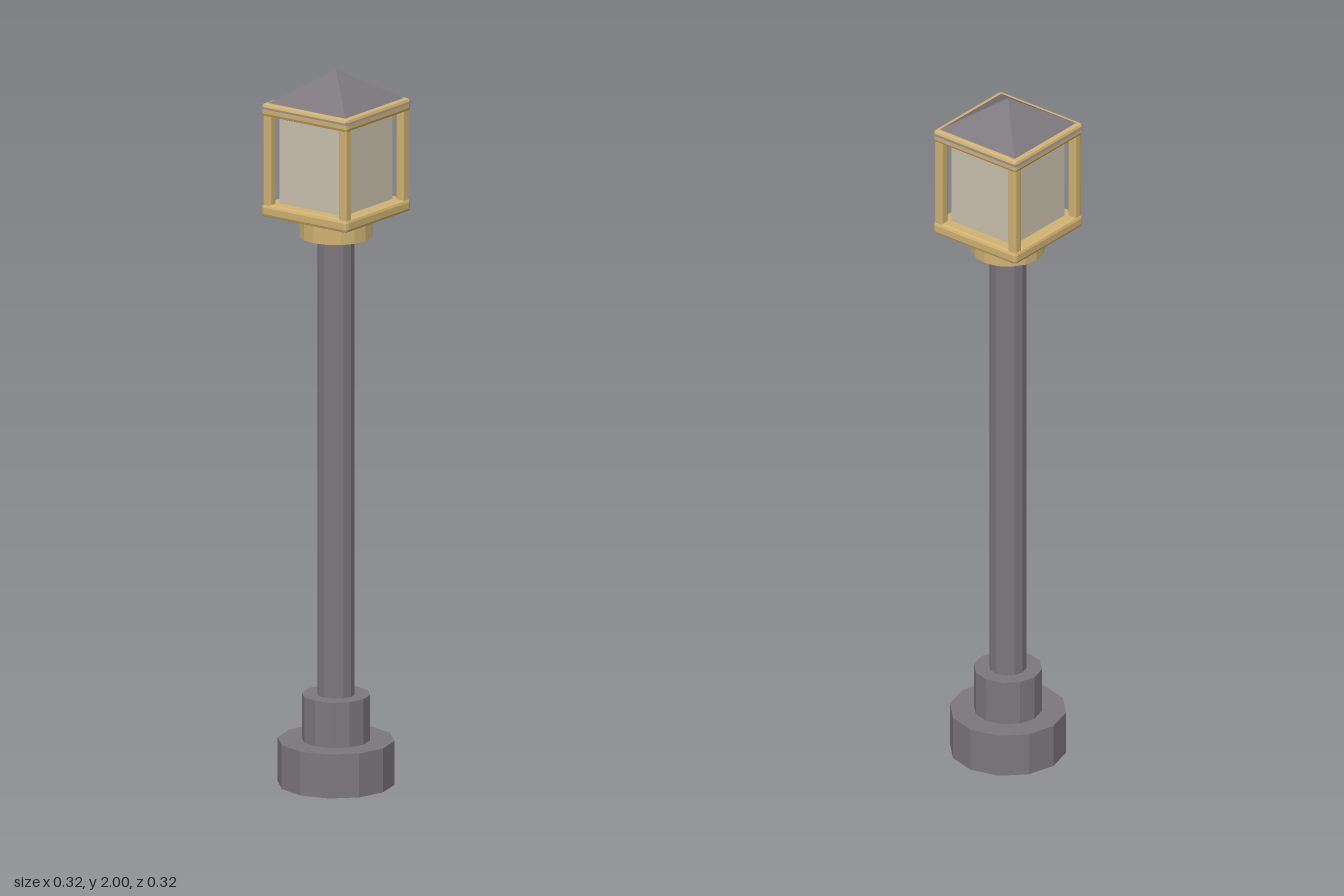
import * as THREE from 'three';
import { RoundedBoxGeometry } from 'three/addons/geometries/RoundedBoxGeometry.js';

export function createModel() {
  const model = new THREE.Group();
  model.name = 'lampPost';

  const mat = (name, color, flatShading) => {
    const m = new THREE.MeshStandardMaterial({ color, flatShading });
    m.name = name;
    return m;
  };
  const iron = mat('greyIron', 0x7d777e, true);
  const brass = mat('brass', 0xd0b272, true);
  const glass = mat('frostedGlass', 0xcac1ae, true);

  const add = (name, geometry, material, x, y, z) => {
    const mesh = new THREE.Mesh(geometry, material);
    mesh.name = name;
    mesh.position.set(x, y, z);
    model.add(mesh);
    return mesh;
  };
  // Upright prism between two heights
  const drum = (name, radius, y0, y1, sides, material) =>
    add(name, new THREE.CylinderGeometry(radius, radius, y1 - y0, sides), material, 0, (y0 + y1) / 2, 0);

  // Stepped foot, pole and collar
  drum('base', 0.159, 0, 0.123, 12, iron);
  drum('pedestal', 0.093, 0.123, 0.25, 12, iron);
  drum('pole', 0.051, 0.25, 1.54, 12, iron);
  drum('collar', 0.1, 1.535, 1.597, 16, brass);

  // Lantern: bevelled trays, corner posts and glass block
  const tray = new RoundedBoxGeometry(0.29, 0.036, 0.29, 1, 0.009);
  add('lanternFloor', tray, brass, 0, 1.613, 0);
  add('lanternTop', tray, brass, 0, 1.895, 0);
  const post = new RoundedBoxGeometry(0.026, 0.27, 0.026, 1, 0.004);
  for (const x of [-1, 1]) {
    for (const z of [-1, 1]) add('cornerPost', post, brass, x * 0.128, 1.754, z * 0.128);
  }
  add('glassBlock', new THREE.BoxGeometry(0.217, 0.26, 0.217), glass, 0, 1.754, 0);

  // Pyramid roof with thin eaves over the top tray
  const roof = new THREE.ConeGeometry(0.15 * Math.SQRT2, 0.1, 4);
  roof.rotateY(Math.PI / 4);
  add('roof', roof, iron, 0, 1.95, 0);

  return model;
}
